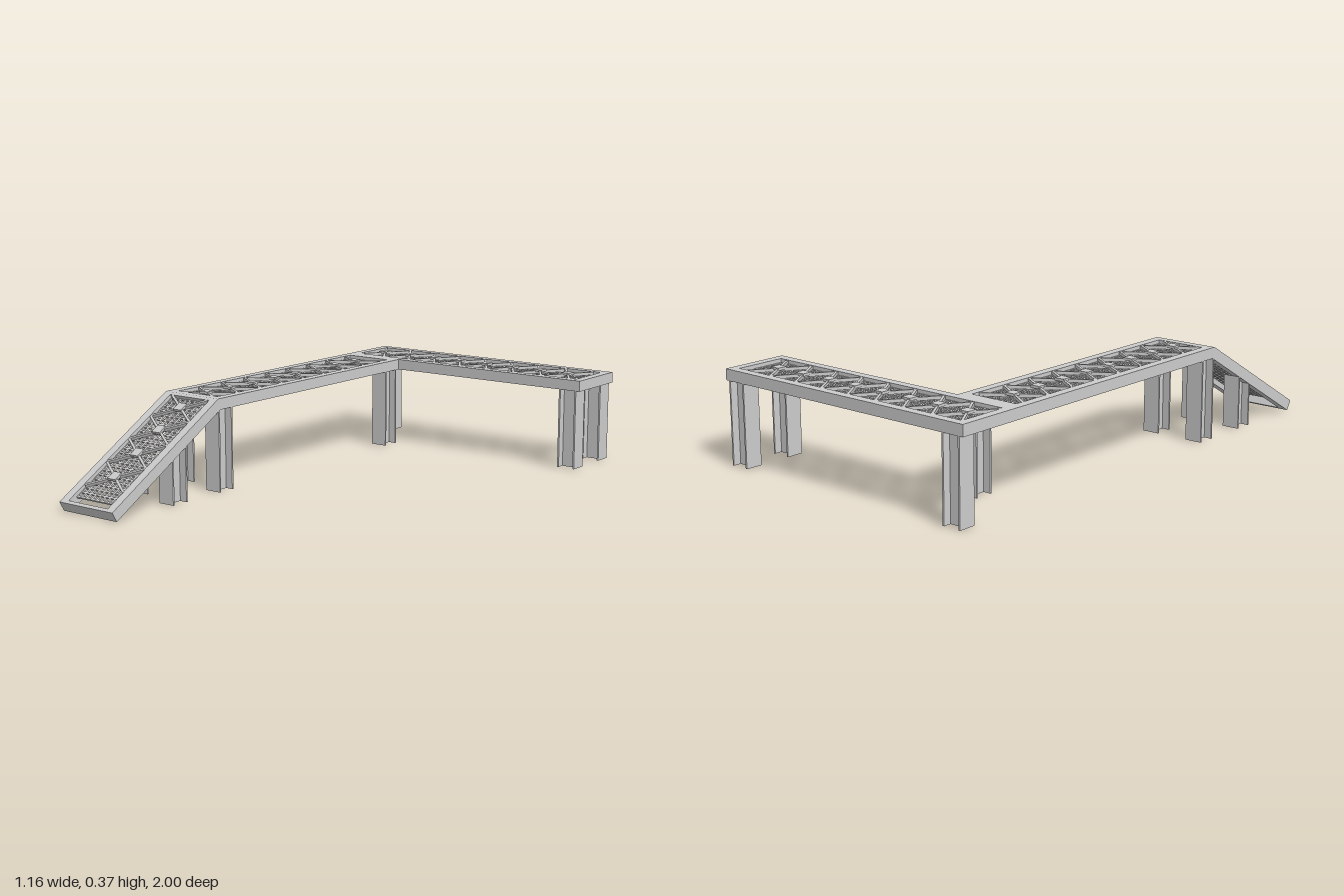
import * as THREE from 'three';
import { mergeGeometries } from 'three/addons/utils/BufferGeometryUtils.js';

const grey = new THREE.MeshStandardMaterial({ color: 0xcccccc, flatShading: true });
const HALF = 0.135, OPEN = 0.1, THICK = 0.043, TOP = 0.363;
const JOINT = 0.43;                          // z where the ramp meets the walkway
const SLOPE = Math.atan2(0.326, 0.57);

function mesh(name, geometry) {
  const m = new THREE.Mesh(geometry, grey);
  m.name = name;
  return m;
}

function box(w, h, d, x, y, z, turn = 0) {
  return new THREE.BoxGeometry(w, h, d).rotateY(turn).translate(x, y, z);
}

// Rectangular rim: runs along +z from 0 to length, top surface at y = 0
function frameGeometry(length, margin) {
  const s = new THREE.Shape();
  s.moveTo(-HALF, 0).lineTo(HALF, 0).lineTo(HALF, -length).lineTo(-HALF, -length).closePath();
  const h = new THREE.Path();
  h.moveTo(-OPEN, -margin).lineTo(-OPEN, margin - length)
    .lineTo(OPEN, margin - length).lineTo(OPEN, -margin).closePath();
  s.holes.push(h);
  return new THREE.ExtrudeGeometry(s, { depth: THICK, bevelEnabled: false })
    .rotateX(-Math.PI / 2).translate(0, -THICK, 0);
}

// Lattice of bars filling the opening
function grateGeometry(z0, z1) {
  const bars = [], cols = 8, rows = Math.round((z1 - z0) / 0.025), y = -0.018;
  for (let i = 0; i <= cols; i++) {
    bars.push(box(0.008, 0.008, z1 - z0, -OPEN + (2 * OPEN * i) / cols, y, (z0 + z1) / 2));
  }
  for (let j = 0; j <= rows; j++) {
    bars.push(box(2 * OPEN, 0.007, 0.008, 0, y, z0 + ((z1 - z0) * j) / rows));
  }
  return mergeGeometries(bars);
}

// Crossed braces with a small plate over each crossing
function braceGeometry(first, pitch, count) {
  const parts = [];
  const angle = Math.atan2(2 * OPEN, pitch), len = Math.hypot(2 * OPEN, pitch) - 0.006;
  for (let i = 0; i < count; i++) {
    const z = first + i * pitch;
    for (const side of [-1, 1]) parts.push(box(0.01, 0.012, len, 0, -0.007, z, side * angle));
    parts.push(box(0.04, 0.01, 0.04, 0, -0.001, z));
  }
  return mergeGeometries(parts);
}

function deck(name, { length, margin, grateEnd, first, pitch, count }) {
  const g = new THREE.Group();
  g.name = name;
  g.add(
    mesh(name + 'Frame', frameGeometry(length, margin)),
    mesh(name + 'Grate', grateGeometry(margin, grateEnd)),
    mesh(name + 'Braces', braceGeometry(first, pitch, count)));
  return g;
}

// I-beam leg; the flanges stand at the two z ends unless turned
function leg(name, x, z, turned = false, topAt = () => TOP - THICK) {
  const w = 0.035, d = 0.039, f = 0.007, t = 0.004;
  const s = new THREE.Shape([
    [-w, -d], [w, -d], [w, -d + f], [t, -d + f], [t, d - f], [w, d - f],
    [w, d], [-w, d], [-w, d - f], [-t, d - f], [-t, -d + f], [-w, -d + f],
  ].map(p => new THREE.Vector2(...p)));
  const g = new THREE.ExtrudeGeometry(s, { depth: 1, bevelEnabled: false }).rotateX(-Math.PI / 2);
  if (turned) g.rotateY(Math.PI / 2);
  g.translate(x, 0, z);
  // Trim the top to the underside of the deck
  const p = g.attributes.position;
  for (let i = 0; i < p.count; i++) {
    if (p.getY(i) > 0.5) p.setY(i, topAt(p.getZ(i)));
  }
  g.computeVertexNormals();
  return mesh(name, g);
}

export function createModel() {
  const model = new THREE.Group();
  model.name = 'walkway';

  // Rear platform, running along x
  const rear = deck('rearDeck', {
    length: 1.16, margin: 0.035, grateEnd: 1.125, first: 0.101, pitch: 0.132, count: 8 });
  rear.rotation.y = Math.PI / 2;
  rear.position.set(-0.58, TOP, -0.865);

  // Side platform, running along z
  const side = deck('sideDeck', {
    length: 1.16, margin: 0.035, grateEnd: 1.125, first: 0.136, pitch: 0.134, count: 8 });
  side.position.set(-0.445, TOP, -0.73);

  // Ramp down to the ground
  const ramp = deck('ramp', {
    length: 0.657, margin: 0.015, grateEnd: 0.6, first: 0.075, pitch: 0.136, count: 4 });
  ramp.rotation.x = SLOPE;
  ramp.position.set(-0.445, TOP, JOINT);
  model.add(rear, side, ramp);

  // Legs of the rear platform
  model.add(
    leg('rearLeg', 0.525, -0.965, true),
    leg('rearLeg', 0.525, -0.765, true),
    leg('cornerLeg', -0.525, -0.965, true));

  // Legs of the side platform and ramp
  const underRamp = z => TOP - (z - JOINT) * Math.tan(SLOPE) - THICK / Math.cos(SLOPE);
  model.add(leg('sideLeg', -0.345, -0.675));
  for (const x of [-0.545, -0.345]) {
    model.add(leg('sideLeg', x, 0.39), leg('rampLeg', x, 0.648, false, underRamp));
  }
  return model;
}
